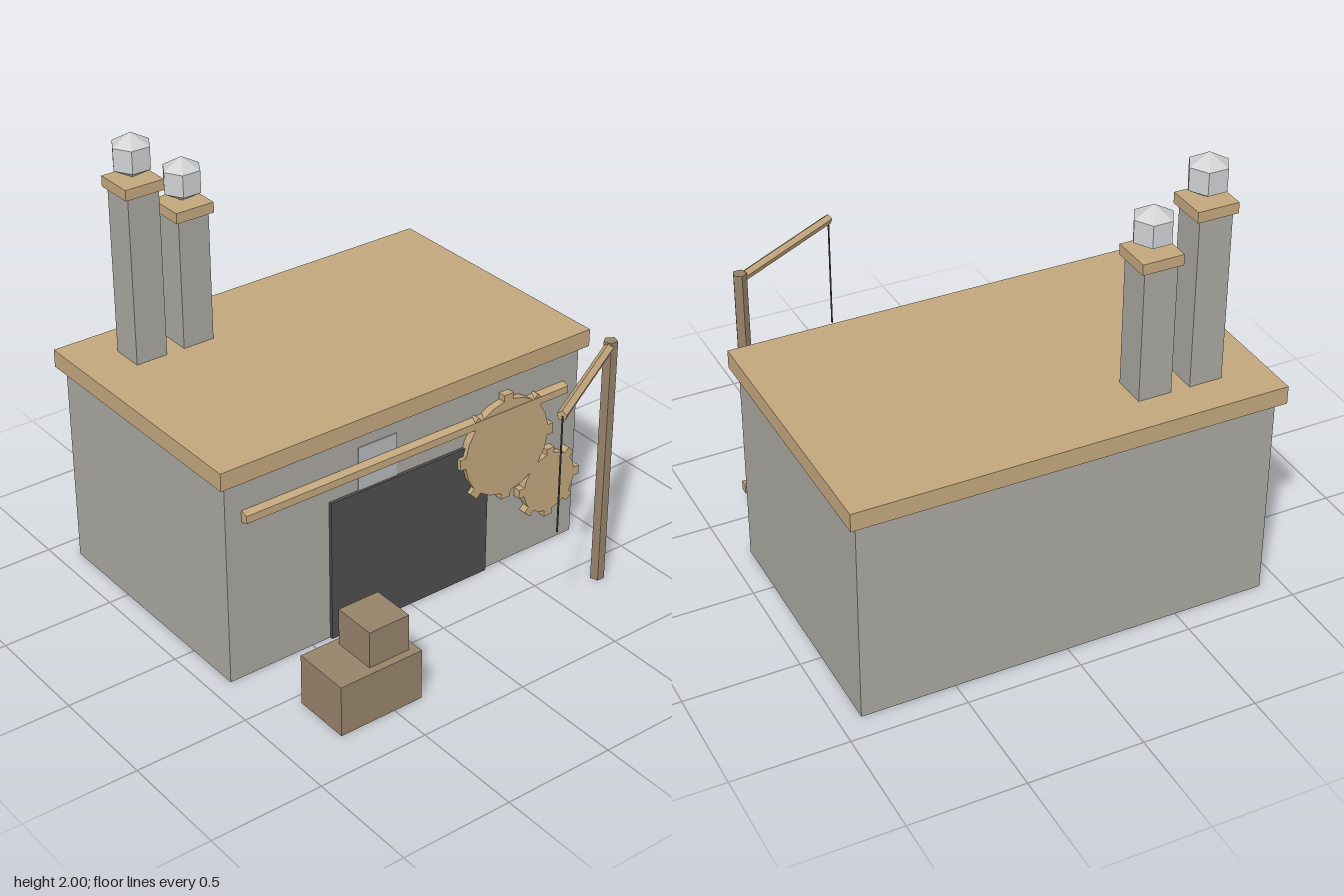
import * as THREE from 'three';

const mat = (name, color) => {
  const m = new THREE.MeshStandardMaterial({ color });
  m.name = name;
  return m;
};

export function createModel() {
  const stone = mat('stone', 0xa8a69f);
  const tan = mat('lightWood', 0xc2a67c);
  const wood = mat('darkWood', 0x96826a);
  const dark = mat('charcoal', 0x4f4d4d);
  const smoke = mat('smoke', 0xcecfd0);
  const glass = mat('glass', 0xb6b8b9);

  const root = new THREE.Group();
  root.name = 'workshop';

  const add = (name, geo, material, parent = root) => {
    const m = new THREE.Mesh(geo.index ? geo.toNonIndexed() : geo, material);
    m.geometry.computeVertexNormals(); // faceted look
    m.name = name;
    parent.add(m);
    return m;
  };

  // Box given by its minimum and maximum on each axis
  const box = (name, material, [x0, x1], [y0, y1], [z0, z1], parent) => {
    const m = add(name, new THREE.BoxGeometry(x1 - x0, y1 - y0, z1 - z0), material, parent);
    m.position.set((x0 + x1) / 2, (y0 + y1) / 2, (z0 + z1) / 2);
    return m;
  };

  // Five-sided bar, one ridge towards -z before it is turned
  const bar = (name, material, radius, length, parent) =>
    add(name, new THREE.CylinderGeometry(radius, radius, length, 5).rotateY(Math.PI), material, parent);

  // Building
  box('walls', stone, [-0.907, 0.907], [0, 0.93], [-0.89, 0.265]);
  box('roof', tan, [-0.94, 0.94], [0.93, 1.01], [-0.925, 0.295]);
  box('door', dark, [-0.41, 0.41], [0, 0.66], [0.262, 0.28]);
  box('window', glass, [-0.265, -0.07], [0.66, 0.86], [0.262, 0.269]);

  // Chimneys with caps and smoke puffs
  for (const [x, top] of [[-0.663, 1.805], [-0.433, 1.638]]) {
    const chimney = new THREE.Group();
    chimney.name = 'chimney';
    root.add(chimney);
    const z = -0.68;
    box('shaft', stone, [x - 0.073, x + 0.073], [1.0, top - 0.047], [z - 0.075, z + 0.075], chimney);
    box('cap', tan, [x - 0.09, x + 0.09], [top - 0.047, top], [z - 0.089, z + 0.089], chimney);
    add('smokePuff', new THREE.SphereGeometry(0.0975, 6, 3), smoke, chimney)
      .position.set(x, top + 0.0975, z);
  }

  // Wall gears with eight square teeth
  const gear = (name, x, y, body, outer, tooth) => {
    const pts = [];
    const h = tooth / 2;
    const base = Math.sqrt(body * body - h * h);
    for (let i = 0; i < 8; i++) {
      const a = (i * Math.PI) / 4;
      for (const [u, v] of [[base, -h], [outer, -h], [outer, h], [base, h]])
        pts.push(new THREE.Vector2(u * Math.cos(a) - v * Math.sin(a), u * Math.sin(a) + v * Math.cos(a)));
      const mid = a + Math.PI / 8;
      pts.push(new THREE.Vector2(body * Math.cos(mid), body * Math.sin(mid)));
    }
    const geo = new THREE.ExtrudeGeometry(new THREE.Shape(pts), { depth: 0.036, bevelEnabled: false });
    add(name, geo, tan).position.set(x, y, 0.264);
  };
  gear('largeGear', 0.495, 0.6, 0.226, 0.254, 0.05);
  gear('smallGear', 0.742, 0.33, 0.142, 0.17, 0.042);

  // Drive rod along the front wall
  const rod = bar('driveRod', tan, 0.029, 1.655);
  rod.rotation.z = Math.PI / 2;
  rod.position.set(-0.003, 0.762, 0.278);

  // Crane: post, slanting arm and rope
  const crane = new THREE.Group();
  crane.name = 'crane';
  root.add(crane);
  bar('cranePost', wood, 0.031, 1.155, crane).position.set(0.757, 0.5775, 0.609);
  const from = new THREE.Vector3(0.757, 1.13, 0.609);
  const to = new THREE.Vector3(0.23, 1.13, 0.906);
  const dir = to.clone().sub(from);
  const arm = bar('craneArm', tan, 0.022, dir.length(), crane);
  arm.geometry.rotateX(Math.PI / 2); // lay along z with the ridge on top
  arm.position.copy(from).add(to).multiplyScalar(0.5);
  arm.rotation.y = Math.atan2(dir.x, dir.z);
  const rope = bar('rope', dark, 0.004, 0.53, crane);
  rope.position.set(0.23, 0.865, 0.91);

  // Stacked crates
  box('largeCrate', wood, [-0.761, -0.365], [0, 0.232], [0.545, 0.808]);
  box('smallCrate', wood, [-0.597, -0.403], [0.232, 0.398], [0.575, 0.773]);

  return root;
}
